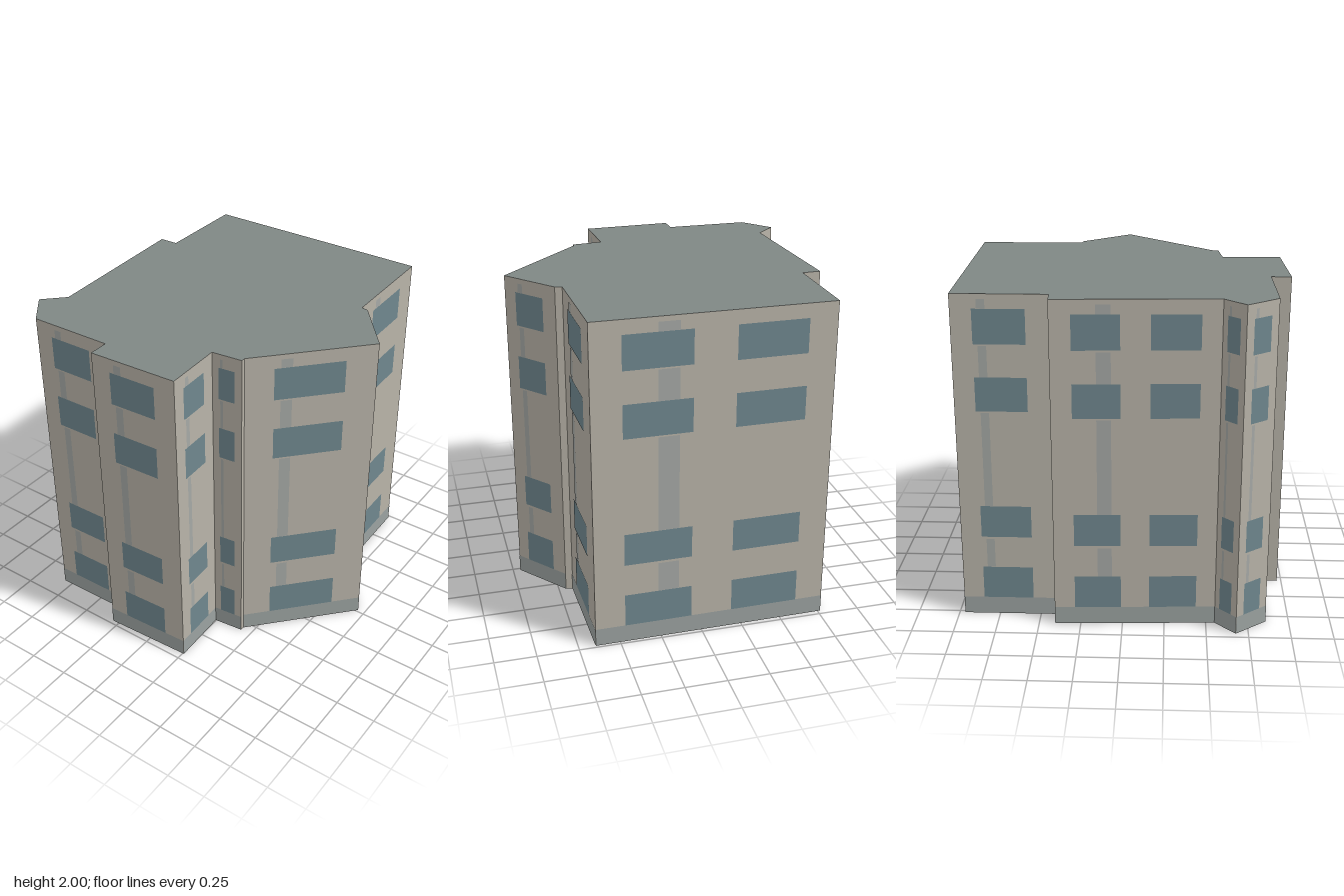
import * as THREE from 'three';

const HEIGHT = 2;

// Footprint corners [x, z], running left to right as seen from outside each wall
const FOOTPRINT = [
  [-0.958, 0.675], [-0.81, 0.86], [-0.295, 0.853], [-0.295, 0.973],
  [0.257, 0.95], [0.244, 0.59], [0.43, 0.57], [0.43, 0.545],
  [0.953, -0.017], [0.705, -0.32], [0.663, -0.33], [0.648, -0.982],
  [-0.767, -0.966], [-0.767, -0.408], [-0.878, -0.404], [-0.835, 0.553],
];

// Heights of the window rows and of the drainpipe pieces between them
const WINDOW_ROWS = [[0.11, 0.315], [0.515, 0.715], [1.31, 1.515], [1.71, 1.915]];
const PIPE_PIECES = [[0.315, 0.5], [0.715, 1.3], [1.515, 1.7], [1.915, 1.97]];

// Window columns as fractions of the wall width
const ONE_COLUMN = [[0.22, 0.757]];
const TWO_COLUMNS = [[0.127, 0.412], [0.588, 0.88]];
const PIPE_SPAN = [0.27, 0.357];

const material = (color, side = THREE.FrontSide) =>
  new THREE.MeshStandardMaterial({ color, side });

const wallMaterial = material(0xb8b3a8, THREE.DoubleSide);
const roofMaterial = material(0x7f8784, THREE.DoubleSide);
const plinthMaterial = material(0x9ba2a0);
const pipeMaterial = material(0xa5a8a5);
const windowMaterial = material(0x6f878e);

// Flat rectangle in wall coordinates: u along the wall, y up, depth outward
function addPanel(parent, name, mat, [u0, u1], [y0, y1], depth) {
  const mesh = new THREE.Mesh(new THREE.PlaneGeometry(u1 - u0, y1 - y0), mat);
  mesh.position.set((u0 + u1) / 2, (y0 + y1) / 2, depth);
  mesh.name = name;
  parent.add(mesh);
}

// One wall with plinth, drainpipe and windows; very short walls stay plain
function createWall([ax, az], [bx, bz]) {
  const wall = new THREE.Group();
  wall.name = 'wall';
  const width = Math.hypot(bx - ax, bz - az);
  wall.position.set(ax, 0, az);
  wall.rotation.y = Math.atan2(az - bz, bx - ax);
  addPanel(wall, 'wallSurface', wallMaterial, [0, width], [0, HEIGHT], 0);
  if (width < 0.15) return wall;

  const scale = (span) => span.map((t) => t * width);
  addPanel(wall, 'plinth', plinthMaterial, [0, width], [0, 0.11], 0.002);
  for (const piece of PIPE_PIECES) {
    addPanel(wall, 'drainpipe', pipeMaterial, scale(PIPE_SPAN), piece, 0.002);
  }
  for (const column of width > 0.9 ? TWO_COLUMNS : ONE_COLUMN) {
    for (const row of WINDOW_ROWS) {
      addPanel(wall, 'window', windowMaterial, scale(column), row, 0.003);
    }
  }
  return wall;
}

export function createModel() {
  const building = new THREE.Group();
  building.name = 'building';

  // Walls around the footprint, open underneath
  FOOTPRINT.forEach((corner, i) => {
    building.add(createWall(corner, FOOTPRINT[(i + 1) % FOOTPRINT.length]));
  });

  // Flat roof
  const outline = new THREE.Shape(FOOTPRINT.map(([x, z]) => new THREE.Vector2(x, -z)));
  const roof = new THREE.Mesh(new THREE.ShapeGeometry(outline), roofMaterial);
  roof.rotation.x = -Math.PI / 2;
  roof.position.y = HEIGHT;
  roof.name = 'roof';
  building.add(roof);

  return building;
}
